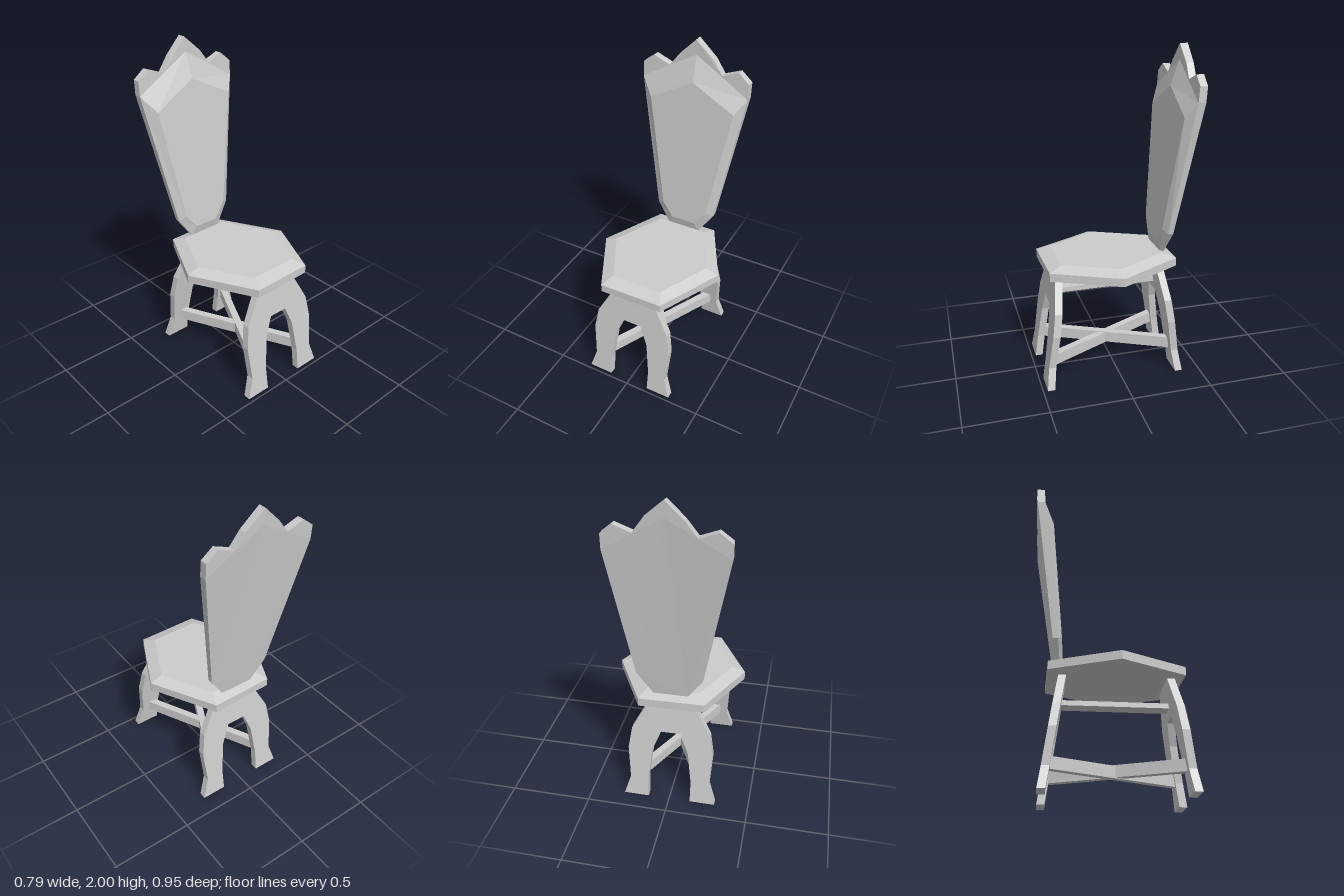
import * as THREE from 'three';

const material = new THREE.MeshStandardMaterial({ color: 0xcccccc, flatShading: true });

function addMesh(parent, name, geometry) {
  const mesh = new THREE.Mesh(geometry, material);
  mesh.name = name;
  parent.add(mesh);
  return mesh;
}

// Faceted solid through matching rings of [x, y, z], counter-clockwise from +z, ordered
// back to front. Edges listed in openEdges get no wall in the first band.
function loft(rings, openEdges = []) {
  const pos = [];
  const tri = (a, b, c) => pos.push(...a, ...b, ...c);
  const n = rings[0].length;
  for (let r = 0; r < rings.length - 1; r++) {
    for (let i = 0; i < n; i++) {
      if (r === 0 && openEdges.includes(i)) continue;
      const j = (i + 1) % n, lo = rings[r], hi = rings[r + 1];
      tri(lo[i], lo[j], hi[j]);
      tri(lo[i], hi[j], hi[i]);
    }
  }
  const cap = (ring, front) => {
    const flat = ring.map(([x, y]) => new THREE.Vector2(x, y));
    for (const [a, b, c] of THREE.ShapeUtils.triangulateShape(flat, [])) {
      if (front) tri(ring[a], ring[b], ring[c]);
      else tri(ring[a], ring[c], ring[b]);
    }
  };
  cap(rings[0], false);
  cap(rings[rings.length - 1], true);
  const geometry = new THREE.BufferGeometry();
  geometry.setAttribute('position', new THREE.Float32BufferAttribute(pos, 3));
  geometry.computeVertexNormals();
  return geometry;
}

// Arched leg pair: extruded profile, sheared so the feet splay outward
function legGeometry() {
  const outer = [[0.29, 0], [0.25, 0.13], [0.265, 0.34], [0.243, 0.48], [0.125, 0.7]];
  const inner = [[0.06, 0.475], [0.11, 0.35], [0.135, 0.14], [0.133, 0]];
  const mirror = (pts) => pts.map(([x, y]) => [-x, y]).reverse();
  const outline = [...outer, ...mirror(outer), ...mirror(inner), ...inner];
  const shape = new THREE.Shape(outline.map(([x, y]) => new THREE.Vector2(x, y)));
  const geometry = new THREE.ExtrudeGeometry(shape, { depth: 0.045, bevelEnabled: false });
  const p = geometry.attributes.position;
  for (let i = 0; i < p.count; i++) p.setZ(i, p.getZ(i) - 0.139 * p.getY(i));
  geometry.computeVertexNormals();
  return geometry;
}

// Piecewise-linear depth by height
function depthCurve(points) {
  return (y) => {
    let i = 1;
    while (i < points.length - 1 && y > points[i][0]) i++;
    const [y0, z0] = points[i - 1], [y1, z1] = points[i];
    return z0 + ((z1 - z0) * (y - y0)) / (y1 - y0);
  };
}

function createBackrest() {
  const back = new THREE.Group();
  back.name = 'backrest';
  const rearZ = depthCurve([[0.757, -0.317], [1.71, -0.457], [2, -0.474]]);
  const rimZ = depthCurve([[0.757, -0.288], [1.71, -0.411], [1.91, -0.424], [2, -0.425]]);
  const panelZ = depthCurve([[0.82, -0.272], [1.76, -0.37]]);
  const place = (pts, depth) => pts.map(([x, y]) => [x, y, depth(y)]);

  // Tapered body with a raised, bevelled front panel
  const body = [[-0.105, 0.755], [0.105, 0.755], [0.2, 0.9], [0.328, 1.71],
    [-0.01, 1.91], [-0.355, 1.71], [-0.195, 0.885]];
  const panel = [[-0.08, 0.82], [0.08, 0.82], [0.155, 0.92], [0.268, 1.62],
    [-0.005, 1.76], [-0.275, 1.61], [-0.15, 0.91]];
  addMesh(back, 'backPanel',
    loft([place(body, rearZ), place(body, rimZ), place(panel, panelZ)], [3, 4]));

  // Pointed crest along the top
  const crest = [[0.328, 1.71], [0.328, 1.8], [0.26, 1.857], [0.16, 1.817], [0.1, 1.9],
    [-0.015, 2], [-0.115, 1.9], [-0.18, 1.813], [-0.285, 1.853], [-0.355, 1.8],
    [-0.355, 1.71], [-0.01, 1.91]];
  addMesh(back, 'backCrest', loft([place(crest, rearZ), place(crest, rimZ)], [10, 11]));
  return back;
}

// Hexagonal seat with a bevelled top, slightly turned about the vertical
function seatGeometry() {
  const hexagon = [[0.397, 0], [0.198, 0.396], [-0.198, 0.396],
    [-0.397, 0], [-0.198, -0.396], [0.198, -0.396]];
  const ring = (scale, height) => hexagon.map(([x, y]) => [x * scale, y * scale, height]);
  return loft([ring(1, 0.684), ring(1, 0.735), ring(0.8, 0.763)])
    .rotateX(-Math.PI / 2)
    .rotateY(0.024)
    .translate(-0.002, 0, 0.033);
}

export function createModel() {
  const chair = new THREE.Group();
  chair.name = 'chair';

  addMesh(chair, 'seat', seatGeometry());
  chair.add(createBackrest());

  // Front and back legs
  const legs = legGeometry();
  addMesh(chair, 'frontLegs', legs).position.z = 0.428;
  const backLegs = addMesh(chair, 'backLegs', legs);
  backLegs.rotation.y = Math.PI;
  backLegs.position.z = -0.346;

  // Straight rail under the seat
  addMesh(chair, 'upperRail', new THREE.BoxGeometry(0.1, 0.03, 0.63))
    .position.set(0, 0.545, 0.04);

  // Crossed stretchers between opposite legs
  for (const side of [-1, 1]) {
    const bar = addMesh(chair, 'crossStretcher', new THREE.BoxGeometry(0.045, 0.07, 0.84));
    bar.position.set(0, side < 0 ? 0.161 : 0.156, 0.042);
    bar.rotation.y = side * Math.atan2(0.19, 0.385);
  }
  return chair;
}
